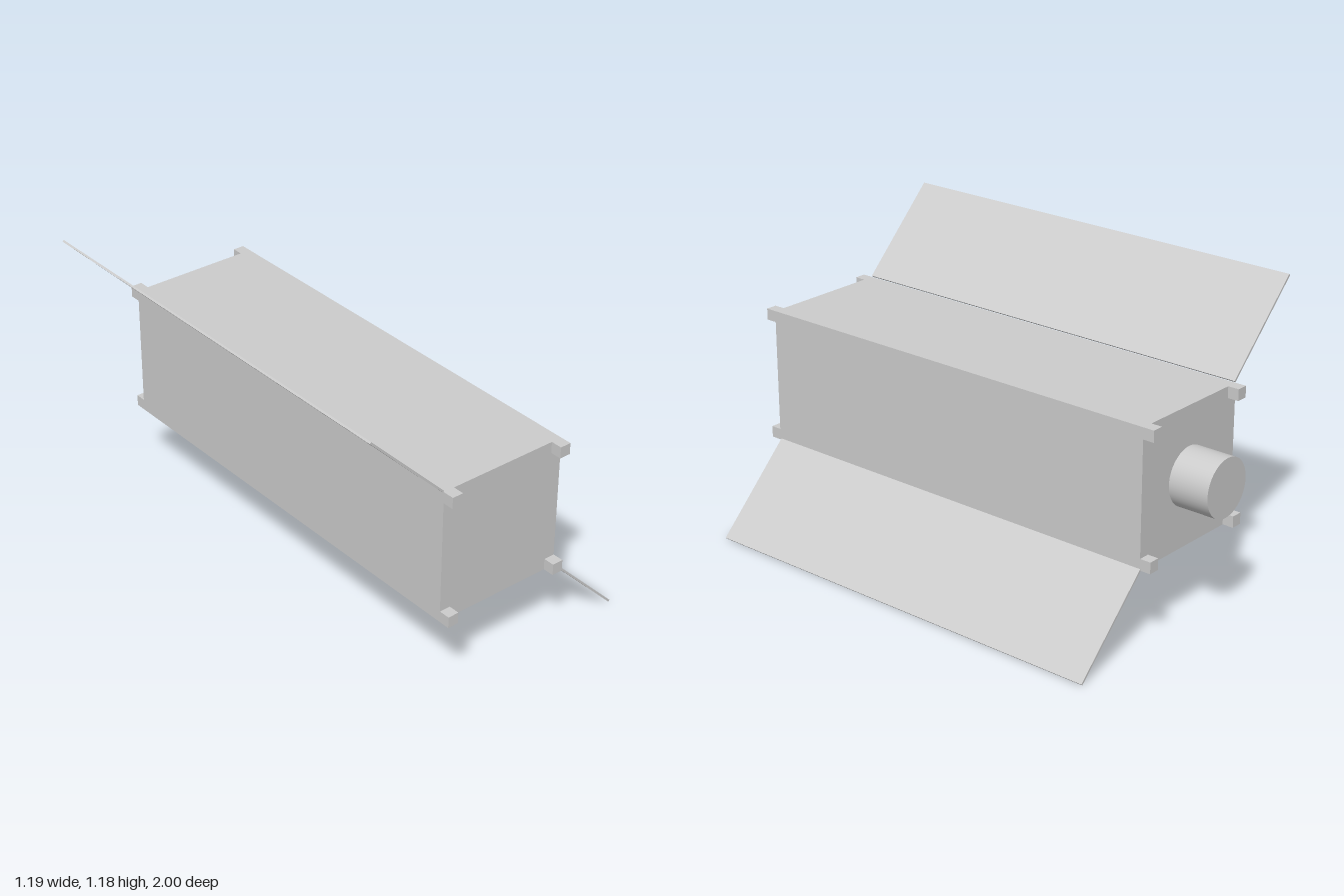
import * as THREE from 'three';

export function createModel() {
  const model = new THREE.Group();
  const material = new THREE.MeshStandardMaterial({ color: 0xcccccc });
  const midY = 0.59, side = 0.54, rail = 0.045;

  function add(name, geometry, x, y, z) {
    const mesh = new THREE.Mesh(geometry, material);
    mesh.name = name;
    mesh.position.set(x, y, z);
    model.add(mesh);
    return mesh;
  }

  // Main square body
  add('body', new THREE.BoxGeometry(side, side, 1.79), 0, midY, 0.06);

  // Corner rail ends standing out at the front and back
  const offset = (side - rail) / 2;
  for (const sx of [-1, 1]) {
    for (const sy of [-1, 1]) {
      for (const [name, z] of [['frontRailEnd', 0.9775], ['backRailEnd', -0.8575]]) {
        add(name, new THREE.BoxGeometry(rail, rail, 0.045), sx * offset, midY + sy * offset, z);
      }
    }
  }

  // Round barrel on the back face
  const barrel = add('barrel', new THREE.CylinderGeometry(0.114, 0.114, 0.165, 48), 0, midY, -0.9175);
  barrel.rotation.x = Math.PI / 2;

  // Thin panels unfolded at 45 degrees from opposite edges
  const panel = new THREE.BoxGeometry(0.452, 0.008, 1.786);
  for (const [name, x, y, z] of [
    ['upperPanel', -0.432, 1.022, 0.062],
    ['lowerPanel', 0.43, 0.165, 0.054],
  ]) {
    add(name, panel, x, y, z).rotation.z = -Math.PI / 4;
  }

  return model;
}
